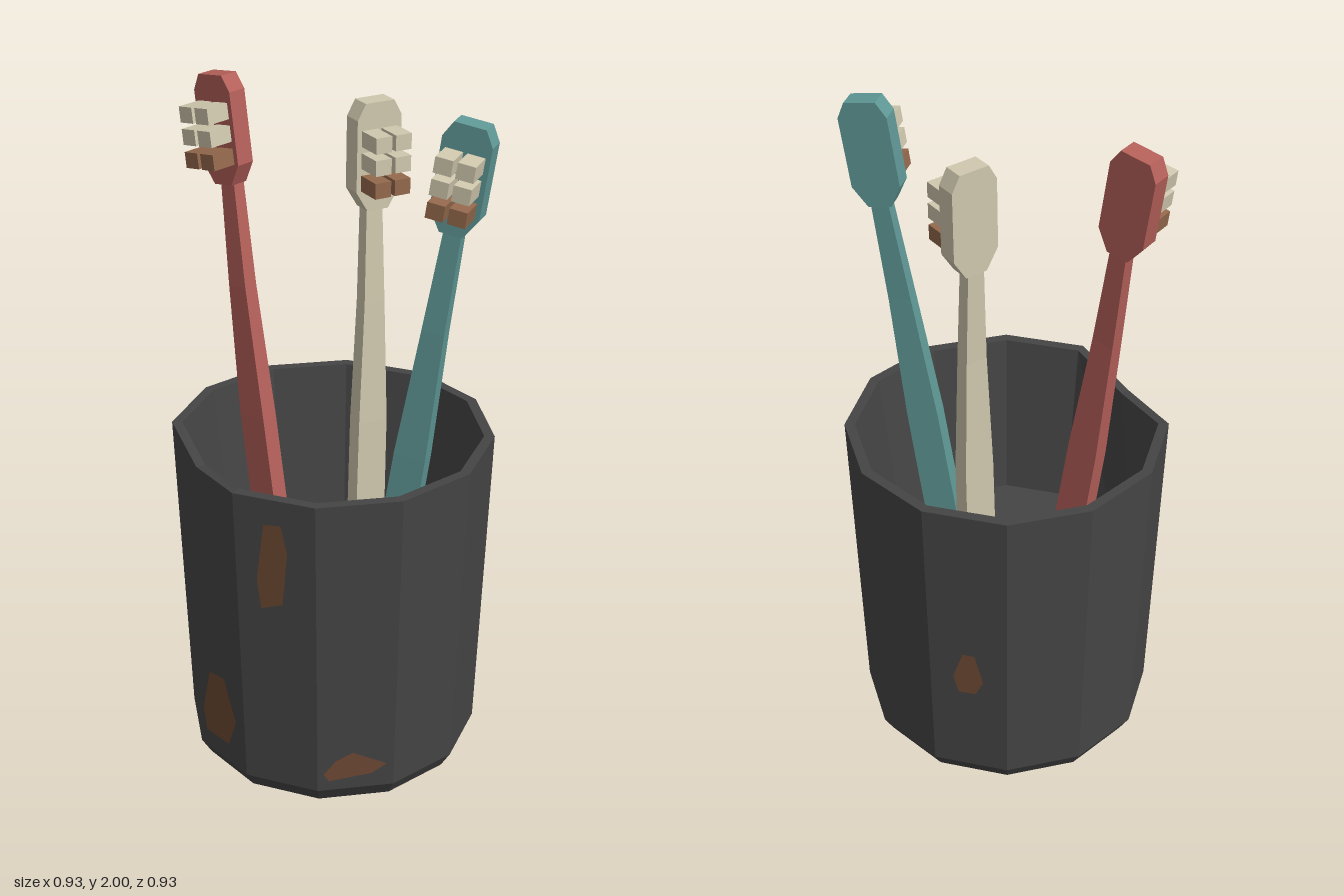
import * as THREE from 'three';

const mat = (name, color) => {
  const m = new THREE.MeshStandardMaterial({ color });
  m.name = name;
  return m;
};
const charcoal = mat('charcoal', 0x454545);
const rust = mat('rust', 0x6e4a34);
const red = mat('faded red', 0xb5605a);
const teal = mat('faded teal', 0x5f9896);
const cream = mat('cream', 0xd0c8ae);
const brown = mat('dirty brown', 0x94694c);

// Faceted mesh: every face gets its own normal
function part(name, geometry, material) {
  const g = geometry.index ? geometry.toNonIndexed() : geometry;
  g.computeVertexNormals();
  const mesh = new THREE.Mesh(g, material);
  mesh.name = name;
  return mesh;
}

const RAD = Math.PI / 180;

// Twelve-sided cup with a dent in one rim corner
function makeCup() {
  const profile = [[0, 0], [0.4, 0], [0.43, 0.05], [0.465, 1.01], [0.435, 1.01], [0.375, 0.5], [0, 0.5]]
    .map(([r, y]) => new THREE.Vector2(r, y));
  const g = new THREE.LatheGeometry(profile, 12);
  const p = g.attributes.position;
  for (let i = 0; i < p.count; i++) {
    const angle = Math.atan2(p.getX(i), p.getZ(i)) / RAD;
    if (p.getY(i) > 0.9 && Math.abs(angle + 30) < 1) {
      p.setXYZ(i, p.getX(i) * 0.9, p.getY(i) - 0.03, p.getZ(i) * 0.9);
    }
  }
  return part('cup', g, charcoal);
}

// Thin rust patch lying on the cup facet centred at the given angle
function makePatch(angle, points) {
  const g = new THREE.ShapeGeometry(new THREE.Shape(points.map(([u, y]) => new THREE.Vector2(u, y))));
  const p = g.attributes.position;
  for (let i = 0; i < p.count; i++) {
    const r = 0.43 + (p.getY(i) - 0.05) * 0.0365;
    p.setZ(i, r * Math.cos(15 * RAD) + 0.004);
  }
  g.rotateY(angle * RAD);
  return part('rustPatch', g, rust);
}

// Brush running from base to neck; normal is the way the bristles point
function makeBrush(name, material, base, neck, normal) {
  const brush = new THREE.Group();
  brush.name = name;
  const from = new THREE.Vector3(...base);
  const up = new THREE.Vector3(...neck).sub(from);
  const length = up.length();
  up.normalize();

  // Handle: tapering bar that bends slightly back at the neck
  const rows = [[0, 0.1, 0.052, 0], [0.42, 0.094, 0.052, 0.004], [0.75, 0.066, 0.044, 0.002], [1.02, 0.05, 0.038, -0.008]];
  const handle = new THREE.BoxGeometry(1, 1, 1, 1, rows.length - 1, 1);
  const p = handle.attributes.position;
  for (let i = 0; i < p.count; i++) {
    const [t, w, d, bend] = rows[Math.round((p.getY(i) + 0.5) * (rows.length - 1))];
    p.setXYZ(i, p.getX(i) * w, t * length, p.getZ(i) * d + bend);
  }
  brush.add(part('handle', handle, material));

  // Head: long plate with cut corners
  const outline = [[0.033, 0], [0.07, 0.06], [0.07, 0.265], [0.045, 0.31]];
  const loop = [...outline, ...outline.map(([x, y]) => [-x, y]).reverse()];
  const head = new THREE.ExtrudeGeometry(
    new THREE.Shape(loop.map(([x, y]) => new THREE.Vector2(x, y))),
    { depth: 0.058, bevelEnabled: false });
  head.translate(0, length, -0.029);
  brush.add(part('head', head, material));

  // Bristle tufts: two columns, three rows, the lowest row stained
  [0.085, 0.15, 0.213].forEach((y, row) => {
    for (const side of [-1, 1]) {
      const tuft = new THREE.BoxGeometry(0.05, 0.045, 0.08);
      tuft.translate(side * 0.031, length + y, 0.066);
      brush.add(part('bristles', tuft, row === 0 ? brown : cream));
    }
  });

  const out = new THREE.Vector3(...normal);
  out.addScaledVector(up, -out.dot(up)).normalize();
  const side = new THREE.Vector3().crossVectors(up, out);
  brush.quaternion.setFromRotationMatrix(new THREE.Matrix4().makeBasis(side, up, out));
  brush.position.copy(from);
  return brush;
}

export function createModel() {
  const model = new THREE.Group();
  model.name = 'toothbrushCup';
  model.add(makeCup());

  model.add(makePatch(15, [[-0.03, 0.93], [0.02, 0.935], [0.037, 0.85], [0.02, 0.68], [-0.045, 0.655], [-0.055, 0.75]]));
  model.add(makePatch(-15, [[-0.04, 0.34], [0.03, 0.35], [0.077, 0.22], [0.035, 0.12], [-0.073, 0.115], [-0.083, 0.19]]));
  model.add(makePatch(45, [[-0.095, 0.11], [-0.06, 0.155], [-0.01, 0.18], [0.09, 0.13], [0.047, 0.1], [-0.08, 0.085]]));
  model.add(makePatch(195, [[-0.015, 0.5], [0.02, 0.5], [0.045, 0.4], [0.02, 0.35], [-0.03, 0.35], [-0.045, 0.41]]));

  model.add(makeBrush('redBrush', red, [-0.17, 0.5, 0.042], [-0.348, 1.685, 0.004], [-0.12, 0, 0.99]));
  model.add(makeBrush('tealBrush', teal, [0.18, 0.5, -0.022], [0.347, 1.675, -0.07], [0.23, 0, 0.97]));
  model.add(makeBrush('creamBrush', cream, [0, 0.5, -0.168], [0, 1.63, -0.192], [0.91, 0, 0.41]));
  return model;
}
